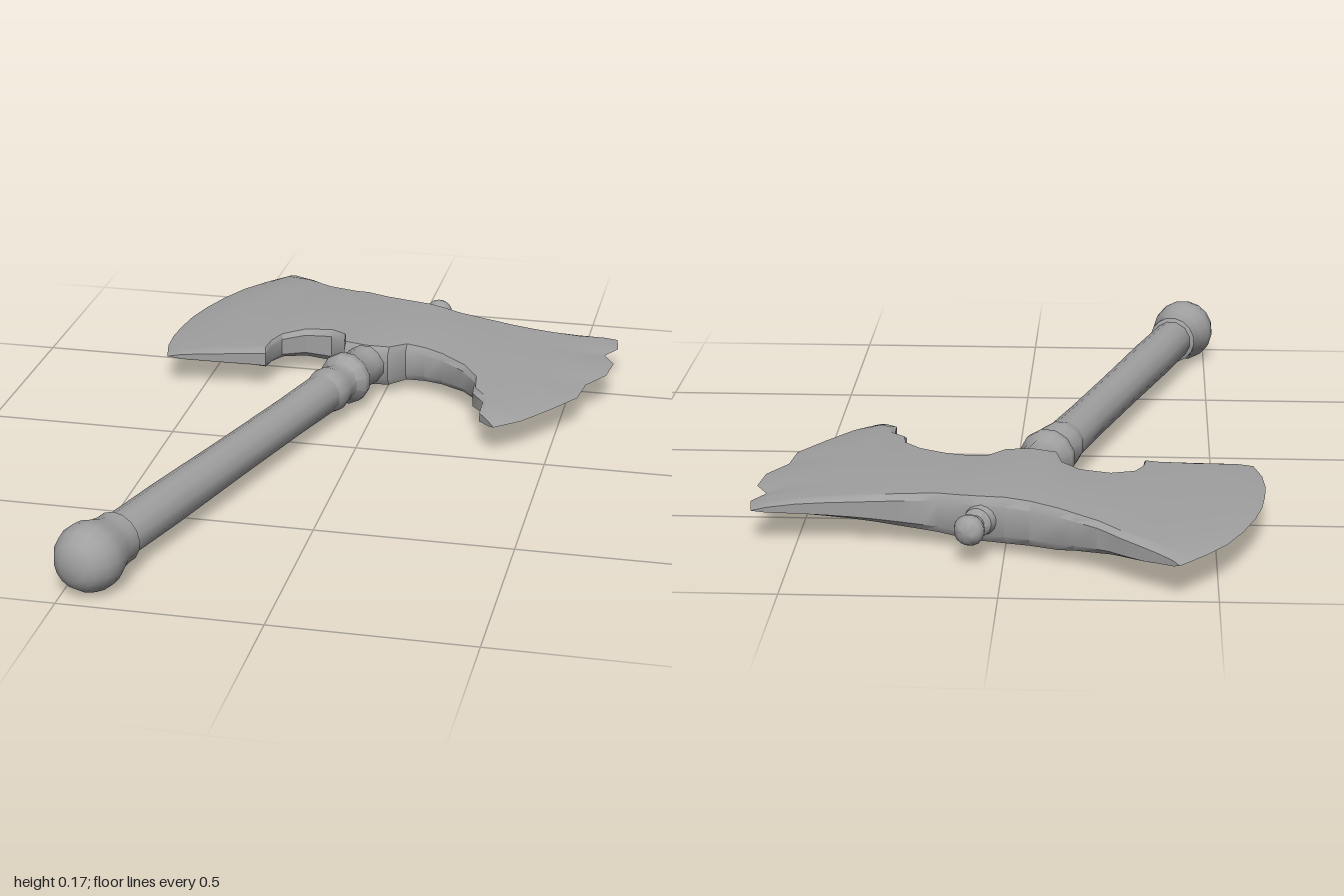
import * as THREE from 'three';
import { toCreasedNormals } from 'three/addons/utils/BufferGeometryUtils.js';

const MID = 0.085; // height of the flat middle plane
const steel = new THREE.MeshStandardMaterial({ color: 0xa0a0a0 });
steel.name = 'grey';

// Outline stations across the head: [back x, back z, front x, front z, half thickness]
const STATIONS = [
  [-0.41, -1.0, -0.6, -0.307, 0],
  [-0.395, -0.985, -0.56, -0.312, 0.011],
  [-0.36, -0.955, -0.46, -0.325, 0.02],
  [-0.33, -0.933, -0.36, -0.337, 0.027],
  [-0.3, -0.907, -0.328, -0.34, 0.031],
  [-0.27, -0.88, -0.325, -0.39, 0.034],
  [-0.25, -0.86, -0.305, -0.44, 0.037],
  [-0.22, -0.836, -0.246, -0.476, 0.043],
  [-0.165, -0.805, -0.17, -0.472, 0.05],
  [-0.13, -0.79, -0.125, -0.434, 0.056],
  [-0.06, -0.757, -0.112, -0.37, 0.06],
  [0.0, -0.738, -0.05, -0.35, 0.062],
  [0.07, -0.725, 0.013, -0.355, 0.06],
  [0.11, -0.71, 0.055, -0.397, 0.057],
  [0.16, -0.69, 0.11, -0.388, 0.053],
  [0.2, -0.683, 0.16, -0.365, 0.049],
  [0.26, -0.675, 0.23, -0.312, 0.043],
  [0.31, -0.671, 0.272, -0.25, 0.037],
  [0.37, -0.668, 0.278, -0.185, 0.031],
  [0.43, -0.667, 0.313, -0.138, 0.026],
  [0.5, -0.67, 0.315, -0.074, 0.02],
  [0.57, -0.681, 0.345, -0.036, 0.011],
  [0.606, -0.688, 0.362, -0.015, 0],
];

// Cutting edges, back to front: a smooth arc and a chipped one
const LEFT_ARC = [[-0.41, -1], [-0.47, -0.93], [-0.52, -0.86], [-0.56, -0.775], [-0.59, -0.69],
  [-0.61, -0.61], [-0.62, -0.53], [-0.624, -0.46], [-0.619, -0.385], [-0.6, -0.307]];
const CHIPPED_ARC = [[0.606, -0.688], [0.616, -0.62], [0.585, -0.566], [0.616, -0.51], [0.606, -0.423],
  [0.56, -0.345], [0.55, -0.254], [0.49, -0.16], [0.426, -0.07], [0.362, -0.015]];

// Offset of an arc from its own chord at v
function bulge(arc, v) {
  const last = arc.length - 1;
  const k = Math.min(Math.floor(v * last), last - 1);
  const f = v * last - k;
  return [0, 1].map((c) => arc[k][c] * (1 - f) + arc[k + 1][c] * f
    - (arc[0][c] * (1 - v) + arc[last][c] * v));
}

function headGeometry() {
  const rows = [0, 0.035];
  for (let k = 1; k < 18; k++) rows.push(k / 18);
  rows.push(0.965, 1);
  const n = rows.length;
  const ring = 2 * n;
  const pos = [];
  const index = [];
  STATIONS.forEach(([bx, bz, fx, fz, h], i) => {
    const s = (i / (STATIONS.length - 1)) * 2 - 1;
    const arc = s < 0 ? LEFT_ARC : CHIPPED_ARC;
    const weight = Math.abs(s) ** (s < 0 ? 2 : 4);
    for (let j = 0; j < ring; j++) {
      const k = j < n ? j : ring - 1 - j;
      const v = rows[k];
      const [ox, oz] = bulge(arc, v);
      const rim = k === 0 || k === n - 1 ? 0.6 : 0.92 + 0.08 * Math.sin(Math.PI * v);
      pos.push(bx + (fx - bx) * v + ox * weight,
        MID + (j < n ? 1 : -1) * h * rim,
        bz + (fz - bz) * v + oz * weight);
    }
  });
  for (let i = 0; i < STATIONS.length - 1; i++) {
    for (let j = 0; j < ring; j++) {
      const a = i * ring + j;
      const b = i * ring + ((j + 1) % ring);
      index.push(a, b, a + ring, b, b + ring, a + ring);
    }
  }
  const g = new THREE.BufferGeometry();
  g.setAttribute('position', new THREE.Float32BufferAttribute(pos, 3));
  g.setIndex(index);
  return toCreasedNormals(g, 0.6);
}

export function createModel() {
  const axe = new THREE.Group();
  axe.name = 'doubleAxe';

  const head = new THREE.Mesh(headGeometry(), steel);
  head.name = 'axeHead';
  axe.add(head);

  // Everything turned about the slanted handle axis; profile is [radius, distance from the butt]
  const haft = new THREE.Group();
  haft.name = 'haft';
  haft.position.set(-0.461, MID, 0.985);
  haft.quaternion.setFromUnitVectors(new THREE.Vector3(0, 1, 0),
    new THREE.Vector3(0.29, 0, -0.957).normalize());
  axe.add(haft);

  const turned = (name, profile, sides) => {
    const g = new THREE.LatheGeometry(profile.map(([r, t]) => new THREE.Vector2(r, t)), sides);
    const mesh = new THREE.Mesh(toCreasedNormals(g, 0.75), steel);
    mesh.name = name;
    haft.add(mesh);
  };

  turned('pommel', [[0, -0.004], [0.035, 0], [0.058, 0.012], [0.078, 0.04], [0.086, 0.07],
    [0.083, 0.1], [0.07, 0.135], [0.066, 0.16], [0.066, 0.188], [0.05, 0.195]], 16);
  turned('shaft', [[0.056, 0.17], [0.057, 0.4], [0.054, 0.7], [0.053, 1.0], [0.055, 1.18]], 12);
  turned('collar', [[0.053, 1.165], [0.06, 1.19], [0.062, 1.215], [0.054, 1.24], [0.054, 1.27],
    [0.071, 1.29], [0.071, 1.312], [0.056, 1.335], [0.055, 1.38], [0.059, 1.46]], 12);
  turned('finial', [[0.05, 1.74], [0.046, 1.775], [0.037, 1.79], [0.035, 1.805], [0.021, 1.815],
    [0.02, 1.832], [0.034, 1.845], [0.038, 1.86], [0.032, 1.875], [0.018, 1.886], [0, 1.888]], 16);

  return axe;
}
